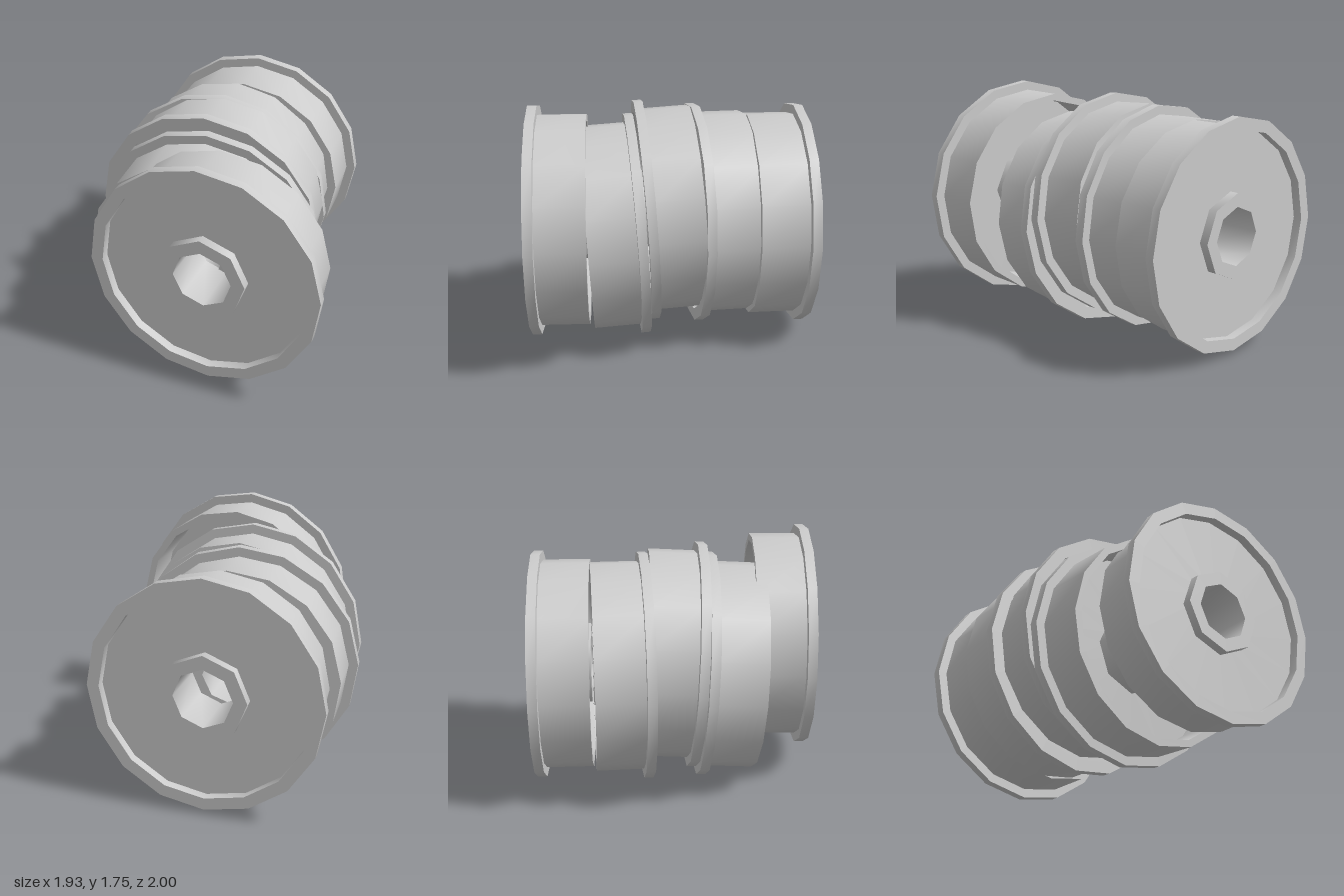
import * as THREE from 'three';
import { toCreasedNormals } from 'three/addons/utils/BufferGeometryUtils.js';

// Lathe from [radius, height] pairs; the flanged face lies at height 0
function turned(profile, sides, crease) {
  const points = profile.map(([r, h]) => new THREE.Vector2(r, h));
  return toCreasedNormals(new THREE.LatheGeometry(points, sides), crease);
}

export function createModel() {
  const model = new THREE.Group();
  model.name = 'wheelStack';
  const material = new THREE.MeshStandardMaterial({ color: 0xcccccc });

  // Flanged rim with a recessed face, thin web and hollow rear
  const rimGeometry = turned([
    [0.695, -0.4], [0.745, -0.4], [0.745, -0.065], [0.81, -0.065], [0.81, 0],
    [0.725, 0], [0.725, -0.065], [0.25, -0.065], [0.25, -0.1], [0.695, -0.1],
    [0.695, -0.4],
  ], 16, 0.6);

  // Eight-sided hub with an open bore
  const hubGeometry = turned([
    [0.205, -0.4], [0.3, -0.4], [0.3, 0], [0.205, 0], [0.205, -0.4],
  ], 8, 0.9);

  // Centre of each flanged face and the direction it points
  const wheels = [
    ['backWheel', [-0.11, 0.85, -1], [0, 0, -1]],
    ['secondWheel', [-0.16, 0.85, -0.193], [0.043, 0, 1]],
    ['middleWheel', [-0.11, 0.9, 0.172], [0, -0.0587, 1]],
    ['fourthWheel', [-0.07, 0.815, 0.178], [0, 0.0587, -1]],
    ['frontWheel', [0.15, 0.945, 0.962], [-0.043, 0, 1]],
  ];
  const up = new THREE.Vector3(0, 1, 0);

  for (const [name, centre, facing] of wheels) {
    const wheel = new THREE.Group();
    wheel.name = name;
    for (const [part, geometry] of [['rim', rimGeometry], ['hub', hubGeometry]]) {
      const mesh = new THREE.Mesh(geometry, material);
      mesh.name = part;
      wheel.add(mesh);
    }
    wheel.position.set(...centre);
    wheel.quaternion.setFromUnitVectors(up, new THREE.Vector3(...facing).normalize());
    model.add(wheel);
  }
  return model;
}
